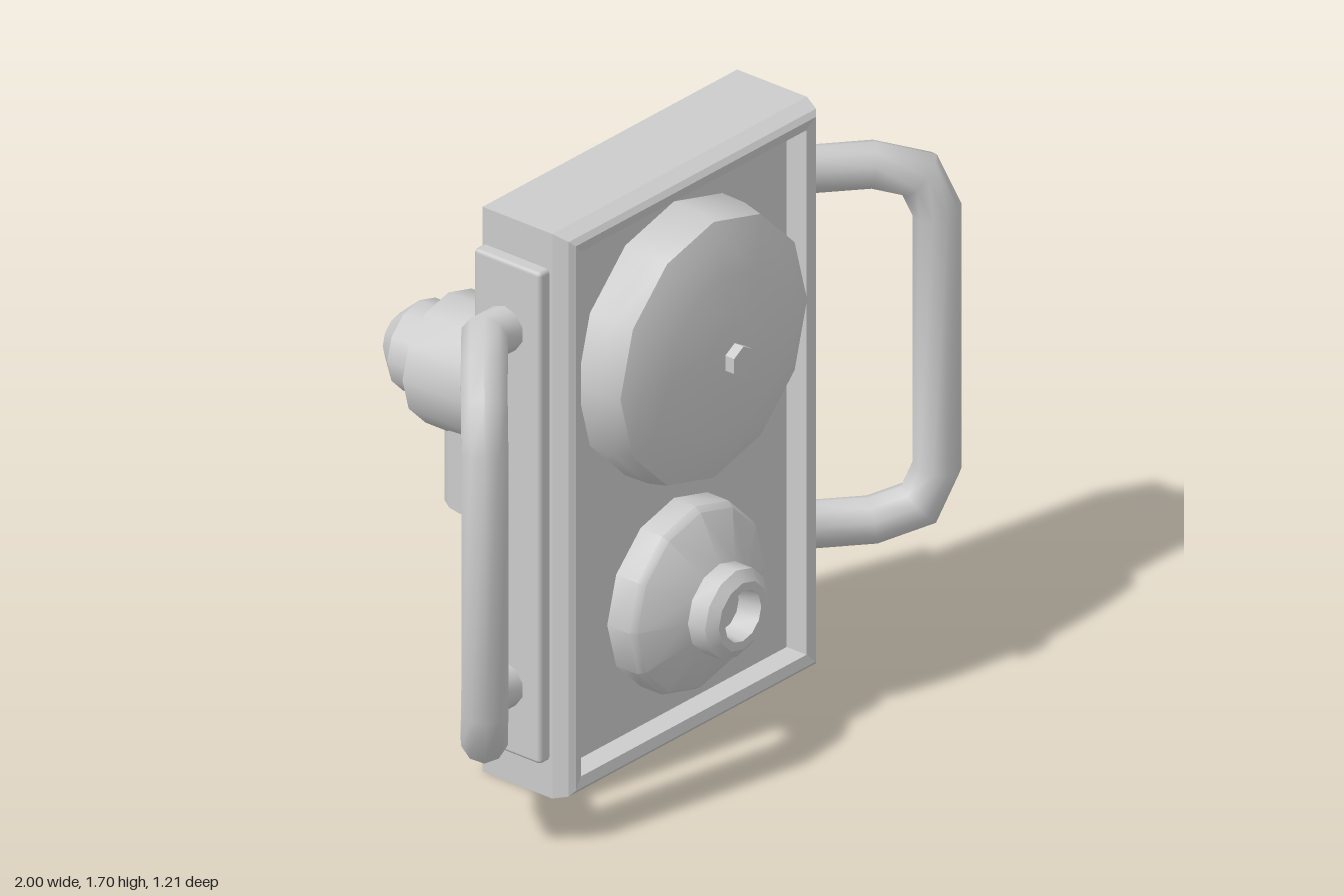
import * as THREE from 'three';
import { toCreasedNormals } from 'three/addons/utils/BufferGeometryUtils.js';
import { RoundedBoxGeometry } from 'three/addons/geometries/RoundedBoxGeometry.js';

const grey = new THREE.MeshStandardMaterial({ color: 0xcccccc });
const greyDouble = new THREE.MeshStandardMaterial({ color: 0xcccccc, side: THREE.DoubleSide });
const V = (x, y, z) => new THREE.Vector3(x, y, z);

function add(parent, name, geometry, x = 0, y = 0, z = 0, material = grey) {
  const mesh = new THREE.Mesh(geometry, material);
  mesh.name = name;
  mesh.position.set(x, y, z);
  parent.add(mesh);
  return mesh;
}

// Skin a list of closed rings of points
function loft(rings, crease) {
  const n = rings[0].length;
  const index = [];
  for (let i = 0; i < rings.length - 1; i++) {
    for (let j = 0; j < n; j++) {
      const k = (j + 1) % n;
      const a = i * n + j, b = i * n + k;
      index.push(a, b, b + n, a, b + n, a + n);
    }
  }
  const g = new THREE.BufferGeometry().setFromPoints(rings.flat());
  g.setIndex(index);
  return toCreasedNormals(g, crease);
}

// Turned part along z; dir 1 points to the front, -1 to the back.
// Profile entries are [radius, z]
function turned(profile, dir, sides, crease = 0.6) {
  const g = new THREE.LatheGeometry(profile.map(([r, z]) => new THREE.Vector2(r, z * dir)), sides);
  g.rotateX(dir * Math.PI / 2);
  return toCreasedNormals(g, crease);
}

// Round bar with mitred bends, swept along a polyline
function handleGeometry(side) {
  const midY = 0.852, radius = 0.066, sides = 10;
  const upper = [[0.53, 0.535, 0.245], [0.645, 0.535, 0.245], [0.8, 0.535, 0.375],
    [0.897, 0.495, 0.458], [0.932, 0.385, 0.49]];
  const lower = upper.map(([x, y, z]) => [x, -y, z]).reverse();
  const path = [...upper, ...lower].map(([x, y, z]) => V(side * x, midY + y, z));
  let ring = [];
  for (let j = 0; j < sides; j++) {
    const a = j / sides * Math.PI * 2;
    ring.push(V(0, Math.cos(a) * radius, side * Math.sin(a) * radius).add(path[0]));
  }
  const rings = [ring];
  for (let i = 1; i < path.length; i++) {
    const p = path[i];
    const d1 = p.clone().sub(path[i - 1]).normalize();
    const d2 = i + 1 < path.length ? path[i + 1].clone().sub(p).normalize() : d1;
    const plane = d1.clone().add(d2);
    ring = ring.map(q => q.clone().addScaledVector(d1, p.clone().sub(q).dot(plane) / d1.dot(plane)));
    rings.push(ring);
  }
  return loft(rings, 0.95);
}

export function createModel() {
  const model = new THREE.Group();
  model.name = 'wallUnit';

  // Housing: bevelled back, rimmed front with a recessed panel; [inset, z]
  const halfW = 0.525, halfH = 0.85;
  const rect = (w, h, z) => [V(w, h, z), V(-w, h, z), V(-w, -h, z), V(w, -h, z)];
  const sections = [[0.08, 0.07], [0, 0.135], [0, 0.38], [0.015, 0.425], [0.03, 0.437],
    [0.06, 0.43], [0.06, 0.36]].map(([inset, z]) => rect(halfW - inset, halfH - inset, z));
  add(model, 'housing', loft([rect(0, 0, 0.07), ...sections, rect(0, 0, 0.36)], 0.2), 0, halfH, 0);

  // Side plates and bar handles
  for (const [label, side] of [['left', 1], ['right', -1]]) {
    add(model, label + 'SidePlate', new RoundedBoxGeometry(0.08, 1.48, 0.235, 1, 0.012), side * 0.523, 0.85, 0.252);
    add(model, label + 'Handle', handleGeometry(side));
  }

  // Large front dome with hexagonal nut
  add(model, 'frontDome', turned([[0.4, 0.355], [0.398, 0.44], [0.385, 0.5], [0.33, 0.525],
    [0.24, 0.548], [0.1, 0.572], [0, 0.575]], 1, 12), 0, 1.185, 0);
  add(model, 'domeNut', turned([[0.045, 0.55], [0.045, 0.605], [0, 0.605]], 1, 6), 0, 1.185, 0);

  // Small front nozzle with a hollow mouth
  add(model, 'frontNozzle', turned([[0.275, 0.355], [0.275, 0.435], [0.262, 0.455], [0.13, 0.52],
    [0.13, 0.58], [0.1, 0.603], [0.075, 0.603], [0.068, 0.53], [0, 0.53]], 1, 12), 0, 0.417, 0);

  // Rear mount: flange, pipe, collar and open downward outlet
  const rear = new THREE.Group();
  rear.name = 'rearMount';
  rear.position.y = 0.855;
  model.add(rear);
  add(rear, 'rearFlange', turned([[0.41, 0.08], [0.41, 0.02], [0.2, -0.055], [0, -0.055]], -1, 12));
  add(rear, 'rearPipe', turned([[0.17, -0.05], [0.142, -0.07], [0.132, -0.1], [0.132, -0.535],
    [0.072, -0.602], [0, -0.602]], -1, 12));
  add(rear, 'rearCollar', turned([[0.12, -0.165], [0.19, -0.165], [0.19, -0.432], [0.12, -0.432]], -1, 12));
  add(rear, 'rearOutlet', new THREE.CylinderGeometry(0.115, 0.115, 0.36, 16, 1, true), 0, -0.205, -0.295, greyDouble);

  return model;
}
